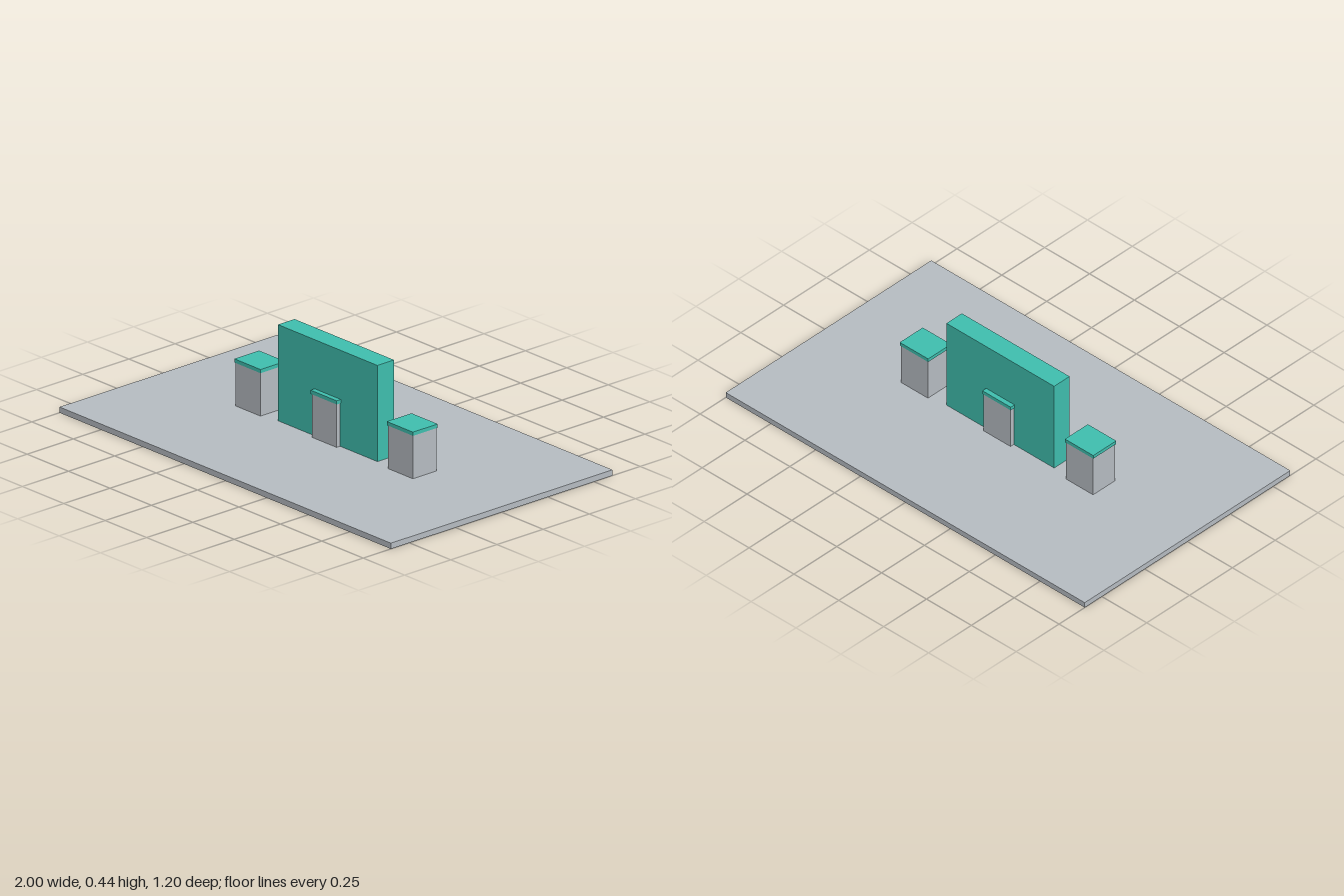
import * as THREE from 'three';

export function createModel() {
  const model = new THREE.Group();
  const grey = new THREE.MeshStandardMaterial({ color: 0xb8bec4 });
  grey.name = 'stone grey';
  const teal = new THREE.MeshStandardMaterial({ color: 0x40c0b0 });
  teal.name = 'teal';

  // Box spanning y0 to y1, centred on x and z = 0
  function addBox(parent, name, material, width, depth, y0, y1, x = 0) {
    const mesh = new THREE.Mesh(new THREE.BoxGeometry(width, y1 - y0, depth), material);
    mesh.name = name;
    mesh.position.set(x, (y0 + y1) / 2, 0);
    parent.add(mesh);
  }

  // Floor slab and upright panel set into it
  addBox(model, 'floorSlab', grey, 2, 1.2, 0, 0.025);
  addBox(model, 'backdropPanel', teal, 0.6, 0.09, 0.002, 0.442);

  // Three counters with overhanging tops; the middle one straddles the panel
  const counters = [['rightCounter', -0.46], ['middleCounter', 0], ['leftCounter', 0.46]];
  for (const [name, x] of counters) {
    const counter = new THREE.Group();
    counter.name = name;
    counter.position.x = x;
    addBox(counter, 'counterBody', grey, 0.15, 0.128, 0.02, 0.213);
    addBox(counter, 'counterTop', teal, 0.158, 0.134, 0.213, 0.229);
    model.add(counter);
  }

  return model;
}
